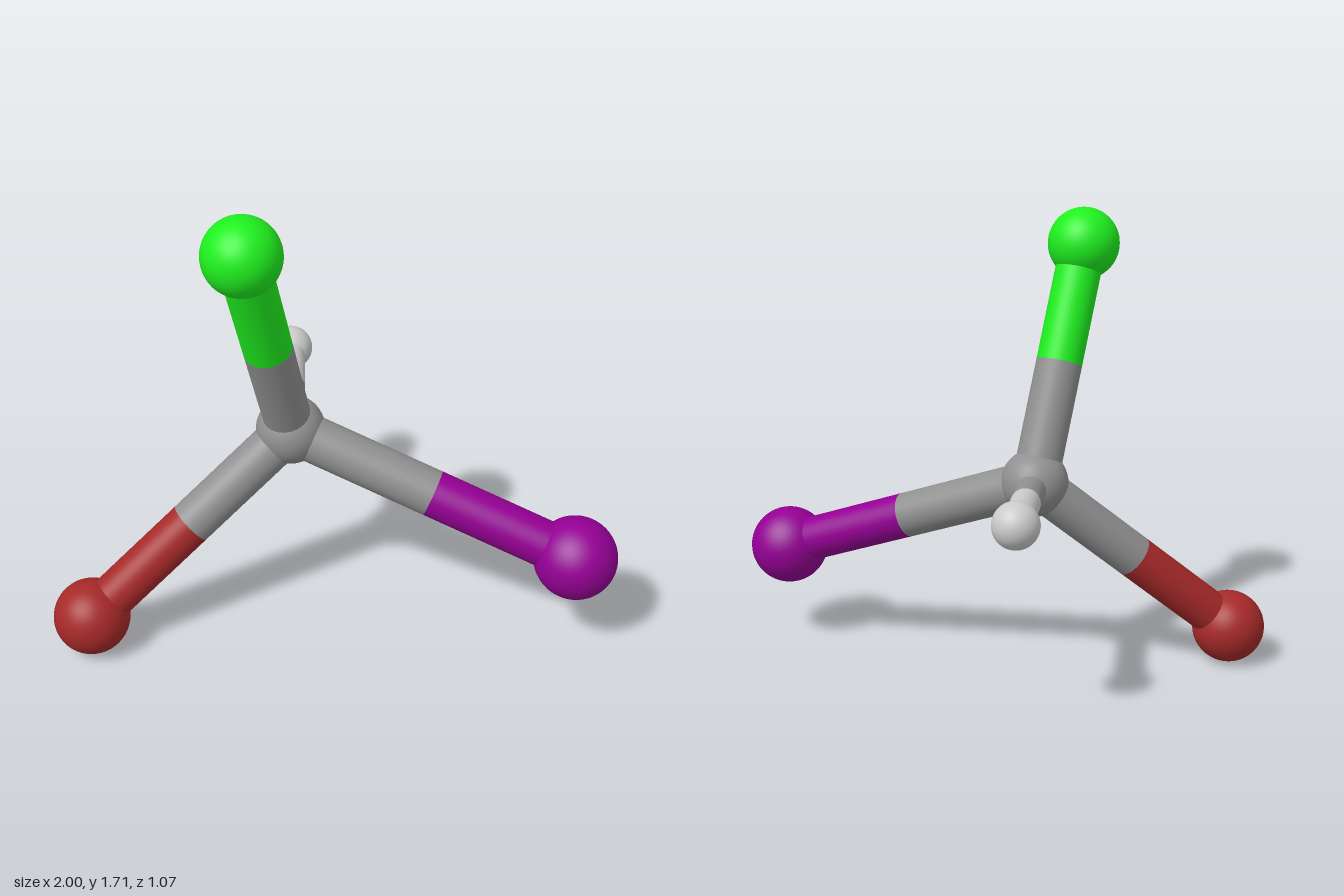
import * as THREE from 'three';

const CENTRE = new THREE.Vector3(-0.15, 0.763, 0.097);
const CENTRE_RADIUS = 0.123;
const GREY = 0x909090;

// Outer atoms: ball position and radius, rod radius, colour
const ATOMS = [
  { name: 'green', at: [-0.286, 1.59, 0.4], radius: 0.131, rod: 0.084, color: 0x1ff01f },
  { name: 'red', at: [-0.865, 0.146, 0.368], radius: 0.136, rod: 0.081, color: 0xa62929 },
  { name: 'purple', at: [0.849, 0.389, 0.36], radius: 0.148, rod: 0.084, color: 0x940094 },
  { name: 'white', at: [-0.157, 0.78, -0.454], radius: 0.082, rod: 0.053, color: 0xffffff },
];

function ball(name, position, radius, material) {
  const mesh = new THREE.Mesh(new THREE.SphereGeometry(radius, 48, 32), material);
  mesh.name = name;
  mesh.position.copy(position);
  return mesh;
}

// Rod running from one point to another
function rod(name, from, to, radius, material) {
  const along = to.clone().sub(from);
  const mesh = new THREE.Mesh(new THREE.CylinderGeometry(radius, radius, along.length(), 40), material);
  mesh.name = name;
  mesh.position.lerpVectors(from, to, 0.5);
  mesh.quaternion.setFromUnitVectors(new THREE.Vector3(0, 1, 0), along.normalize());
  return mesh;
}

export function createModel() {
  const model = new THREE.Group();
  model.name = 'molecule';
  const grey = new THREE.MeshStandardMaterial({ color: GREY });
  model.add(ball('centralAtom', CENTRE, CENTRE_RADIUS, grey));

  // Each bond is half grey, half the colour of its outer atom
  for (const atom of ATOMS) {
    const material = new THREE.MeshStandardMaterial({ color: atom.color });
    const end = new THREE.Vector3(...atom.at);
    const middle = CENTRE.clone().lerp(end, 0.5);
    const branch = new THREE.Group();
    branch.name = `${atom.name}Branch`;
    branch.add(
      rod(`${atom.name}BondInner`, CENTRE, middle, atom.rod, grey),
      rod(`${atom.name}BondOuter`, middle, end, atom.rod, material),
      ball(`${atom.name}Atom`, end, atom.radius, material),
    );
    model.add(branch);
  }
  return model;
}
